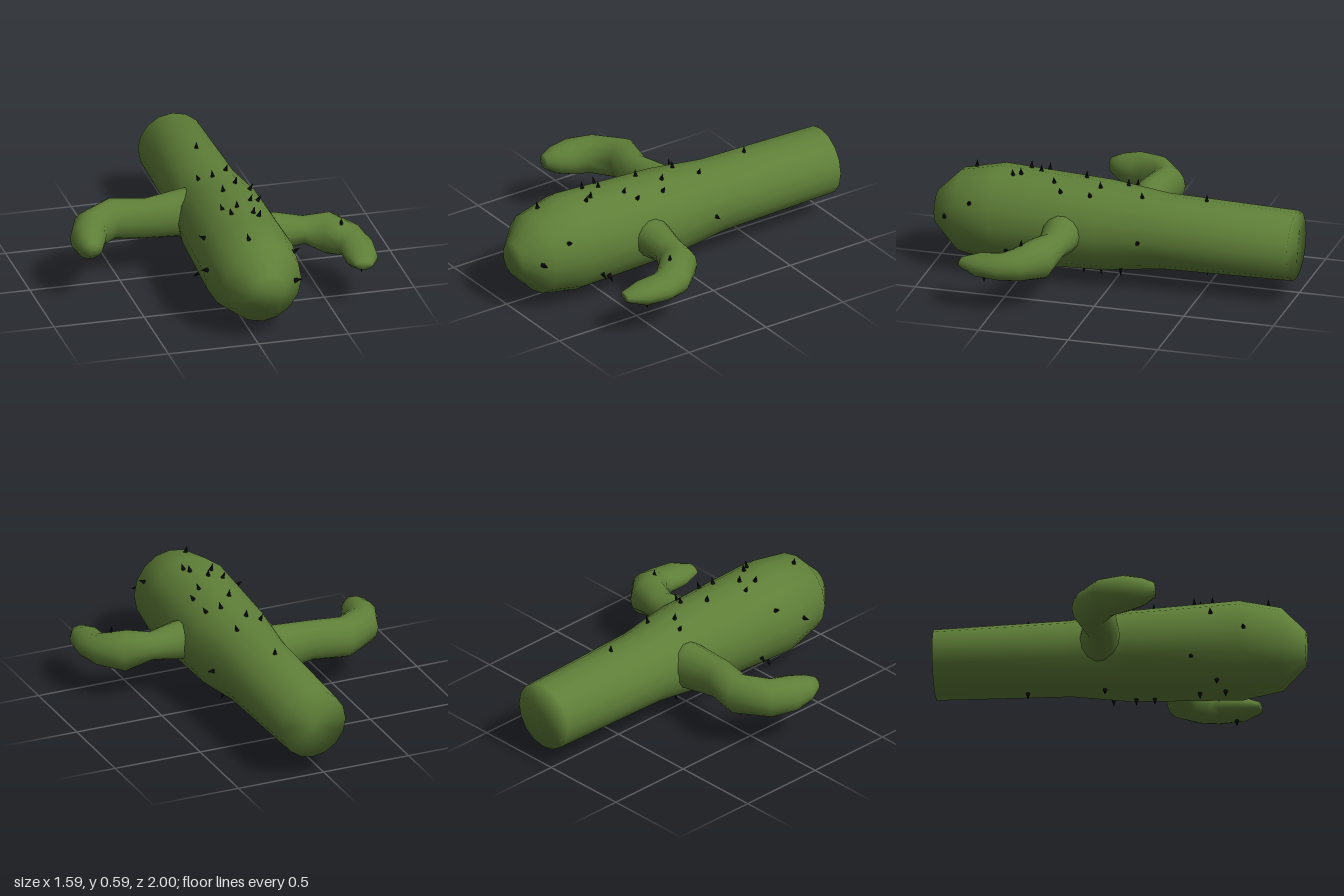
import * as THREE from 'three';

const green = new THREE.MeshStandardMaterial({ color: 0x5f7f38 });
green.name = 'cactus green';
const black = new THREE.MeshStandardMaterial({ color: 0x0b0b0b });
black.name = 'spine black';

// Sections are [x, y, z, half width, half height] along a roughly level path
const trunkSections = [
  [0.06, 0.312, -1, 0.19, 0.19],
  [0.06, 0.315, -0.27, 0.205, 0.205],
  [0.06, 0.315, 0.05, 0.243, 0.245],
  [0.047, 0.315, 0.65, 0.257, 0.27],
  [0.058, 0.315, 0.87, 0.218, 0.225],
  [0.06, 0.315, 1, 0.092, 0.095],
];
const rightArmSections = [
  [0.0, 0.335, -0.1, 0.115, 0.138],
  [-0.13, 0.335, -0.093, 0.11, 0.133],
  [-0.34, 0.333, -0.07, 0.09, 0.112],
  [-0.52, 0.335, -0.11, 0.097, 0.114],
  [-0.665, 0.33, -0.005, 0.1, 0.107],
  [-0.705, 0.33, 0.105, 0.097, 0.1],
  [-0.72, 0.33, 0.2, 0.075, 0.075],
  [-0.725, 0.335, 0.262, 0.04, 0.04],
];
const leftArmSections = [
  [0.15, 0.32, 0.245, 0.108, 0.112],
  [0.3, 0.32, 0.248, 0.105, 0.105],
  [0.45, 0.315, 0.252, 0.083, 0.075],
  [0.58, 0.296, 0.285, 0.105, 0.115],
  [0.675, 0.283, 0.385, 0.1, 0.088],
  [0.692, 0.27, 0.465, 0.095, 0.072],
  [0.685, 0.266, 0.59, 0.088, 0.062],
  [0.67, 0.266, 0.69, 0.048, 0.025],
];

// Closed smooth skin through elliptical rings, with a centre point at each end
function loft(sections, sides) {
  const pos = [], idx = [], n = sections.length;
  const centres = sections.map(s => new THREE.Vector3(s[0], s[1], s[2]));
  sections.forEach((s, i) => {
    const t = centres[Math.min(i + 1, n - 1)].clone().sub(centres[Math.max(i - 1, 0)]);
    t.y = 0;
    t.normalize();
    const side = new THREE.Vector3(t.z, 0, -t.x);
    for (let k = 0; k < sides; k++) {
      const a = k / sides * Math.PI * 2;
      const p = centres[i].clone().addScaledVector(side, Math.cos(a) * s[3]);
      pos.push(p.x, p.y + Math.sin(a) * s[4], p.z);
    }
  });
  for (let i = 0; i < n - 1; i++) {
    for (let k = 0; k < sides; k++) {
      const a = i * sides + k, b = i * sides + (k + 1) % sides;
      idx.push(a, b, b + sides, a, b + sides, a + sides);
    }
  }
  const first = n * sides;
  pos.push(...centres[0].toArray(), ...centres[n - 1].toArray());
  for (let k = 0; k < sides; k++) {
    const k2 = (k + 1) % sides, e = (n - 1) * sides;
    idx.push(first, k2, k, first + 1, e + k, e + k2);
  }
  const g = new THREE.BufferGeometry();
  g.setAttribute('position', new THREE.Float32BufferAttribute(pos, 3));
  g.setIndex(idx);
  g.computeVertexNormals();
  return g;
}

// Trunk section interpolated at a given z
function trunkAt(z) {
  let i = 0;
  while (i < trunkSections.length - 2 && trunkSections[i + 1][2] < z) i++;
  const a = trunkSections[i], b = trunkSections[i + 1];
  const t = (z - a[2]) / (b[2] - a[2]);
  return a.map((v, k) => v + (b[k] - v) * t);
}

export function createModel() {
  const model = new THREE.Group();
  model.name = 'cactus';
  const add = (name, geometry, material, parent = model) => {
    const mesh = new THREE.Mesh(geometry, material);
    mesh.name = name;
    parent.add(mesh);
    return mesh;
  };

  add('trunk', loft(trunkSections, 16), green);
  add('rightArm', loft(rightArmSections, 14), green);
  add('leftArm', loft(leftArmSections, 14), green);

  // Spines: small cones standing out from the skin
  const spines = new THREE.Group();
  spines.name = 'spines';
  model.add(spines);
  const spineGeometry = new THREE.ConeGeometry(0.015, 0.05, 6);
  const up = new THREE.Vector3(0, 1, 0);
  const spine = (point, direction, size = 1) => {
    const m = add('spine', spineGeometry, black, spines);
    m.position.copy(point).addScaledVector(direction, 0.012);
    m.quaternion.setFromUnitVectors(up, direction);
    m.scale.setScalar(size);
  };
  const trunkSpine = (z, angle, size) => {
    const [x, y, , w, h] = trunkAt(z);
    const c = Math.cos(angle), s = Math.sin(angle);
    spine(new THREE.Vector3(x + c * w, y + s * h, z), new THREE.Vector3(c, s, 0), size);
  };

  // Upper spines, then lower ones, as [x, z]
  const upper = [
    [0.06, -0.5], [0.13, -0.16], [-0.04, -0.085], [0.03, -0.055], [0.12, 0.075],
    [0.19, 0.115], [0.025, 0.18], [0.19, 0.28], [0.135, 0.33], [-0.04, 0.405],
    [0.035, 0.43], [-0.015, 0.5], [0.1, 0.525], [0.12, 0.565], [0, 0.8], [-0.17, 0.505],
  ];
  const lower = [
    [-0.08, 0.53], [0, 0.57], [0.02, 0.43], [0.08, 0.18], [0.09, 0.08],
    [0.16, -0.05], [0, -0.08], [0.05, -0.5], [-0.17, 0.4],
  ];
  for (const [list, sign] of [[upper, 1], [lower, -1]]) {
    for (const [x, z] of list) {
      const s = trunkAt(z);
      trunkSpine(z, sign * Math.acos((x - s[0]) / s[3]), 0.95);
    }
  }

  // Spines along the flanks, as [z, angle]
  const flank = [[0.77, 0.5], [0.915, 0.08], [-0.175, 0], [0.505, -0.66], [0.56, -0.5], [0.685, 3.05]];
  flank.forEach(([z, a], i) => trunkSpine(z, a, i === 3 ? 1.3 : 1));

  // Spines on the left arm
  spine(new THREE.Vector3(0.63, 0.375, 0.37), up, 1);
  spine(new THREE.Vector3(0.69, 0.203, 0.56), new THREE.Vector3(0, -1, 0), 1);
  return model;
}
